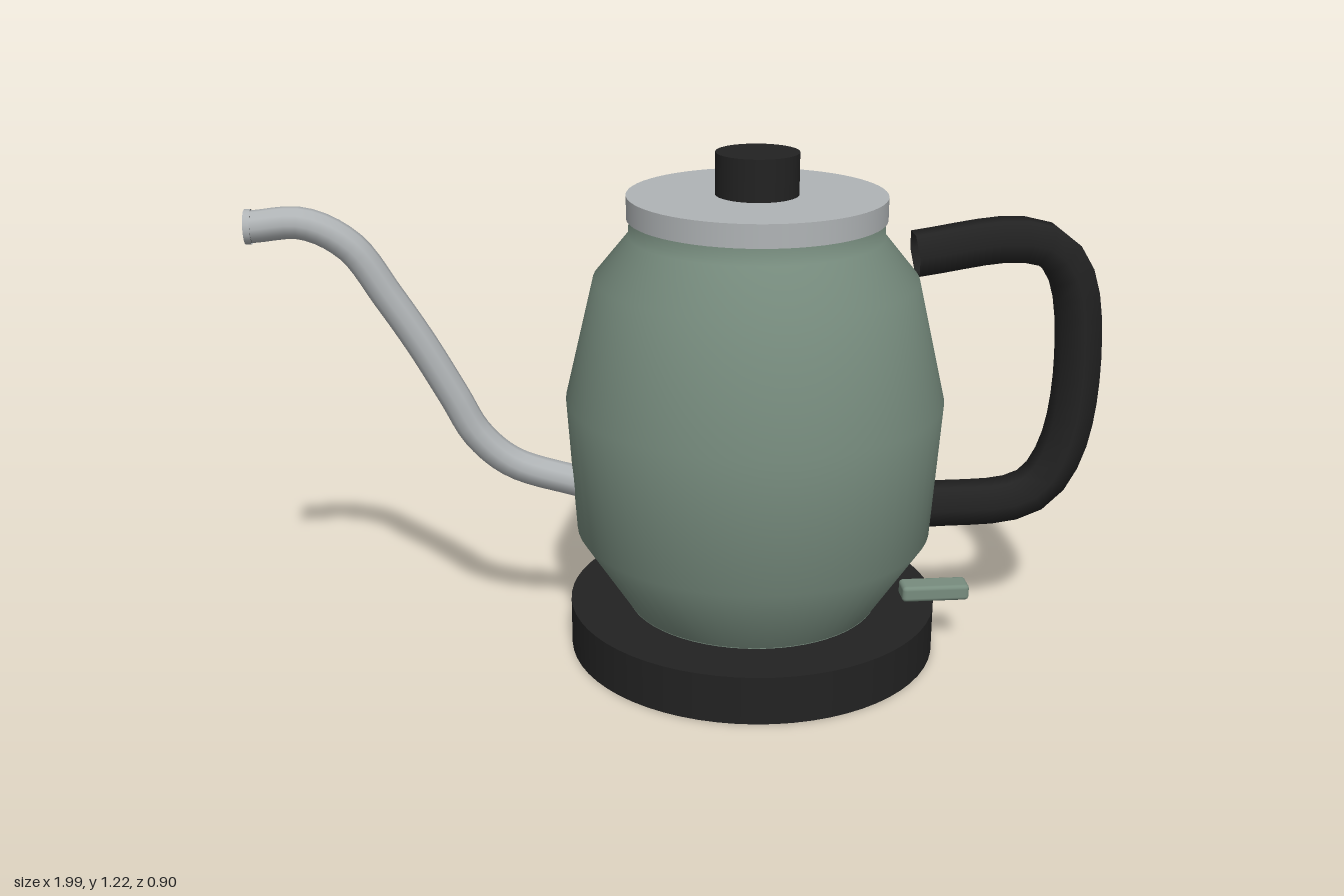
import * as THREE from 'three';
import { RoundedBoxGeometry } from 'three/addons/geometries/RoundedBoxGeometry.js';

const material = (name, color, side = THREE.FrontSide) => {
  const m = new THREE.MeshStandardMaterial({ color, side });
  m.name = name;
  return m;
};

export function createModel() {
  const green = material('sage green enamel', 0x778c7e, THREE.DoubleSide);
  const steel = material('brushed steel', 0xb0b4b6, THREE.DoubleSide);
  const black = material('matte black', 0x222222, THREE.DoubleSide);

  const kettle = new THREE.Group();
  kettle.name = 'gooseneckKettle';
  const axis = 0.16; // x of the body's centre line

  const add = (name, geometry, mat, x = 0, y = 0, z = 0) => {
    const mesh = new THREE.Mesh(geometry, mat);
    mesh.name = name;
    mesh.position.set(x, y, z);
    kettle.add(mesh);
    return mesh;
  };
  const disc = (name, radius, bottom, top, mat) =>
    add(name, new THREE.CylinderGeometry(radius, radius, top - bottom, 64), mat, axis, (bottom + top) / 2);
  const tube = (name, points, radius, sides, steps, mat) => {
    const curve = new THREE.CatmullRomCurve3(points.map(([x, y]) => new THREE.Vector3(x, y, 0)));
    return add(name, new THREE.TubeGeometry(curve, steps, radius, sides), mat);
  };

  // Heating base and foot
  disc('base', 0.447, 0, 0.118, black);
  disc('foot', 0.306, 0.11, 0.128, green);

  // Body, turned from a faceted profile
  const profile = [[0.305, 0.118], [0.428, 0.31], [0.449, 0.64], [0.38, 0.93], [0.298, 1.03], [0.295, 1.08]];
  add('body', new THREE.LatheGeometry(profile.map(([r, y]) => new THREE.Vector2(r, y)), 64), green, axis);

  // Lid and knob
  disc('lid', 0.302, 1.07, 1.124, steel);
  disc('knob', 0.097, 1.12, 1.222, black);

  // Curved spout with a rimmed opening
  tube('spout', [[-0.99, 1.07], [-0.87, 1.075], [-0.77, 1.02], [-0.69, 0.9], [-0.62, 0.785],
    [-0.55, 0.655], [-0.5, 0.56], [-0.42, 0.485], [-0.25, 0.425]], 0.037, 10, 40, steel);
  const rim = add('spoutRim', new THREE.CylinderGeometry(0.04, 0.04, 0.014, 20, 1, true), steel, -0.993, 1.07);
  rim.rotation.z = Math.PI / 2;
  const lip = add('spoutLip', new THREE.RingGeometry(0.027, 0.04, 20), steel, -1, 1.07);
  lip.rotation.y = -Math.PI / 2;
  const hole = add('spoutOpening', new THREE.CircleGeometry(0.037, 20), black, -0.985, 1.07);
  hole.rotation.y = -Math.PI / 2;

  // Six-sided handle
  tube('handle', [[0.535, 0.975], [0.77, 1.005], [0.857, 0.985], [0.915, 0.91], [0.944, 0.686],
    [0.921, 0.483], [0.868, 0.385], [0.8, 0.35], [0.59, 0.34]], 0.057, 6, 24, black);

  // Power switch
  add('powerSwitch', new RoundedBoxGeometry(0.165, 0.04, 0.06, 2, 0.01), green, 0.598, 0.15, 0.09);

  return kettle;
}
